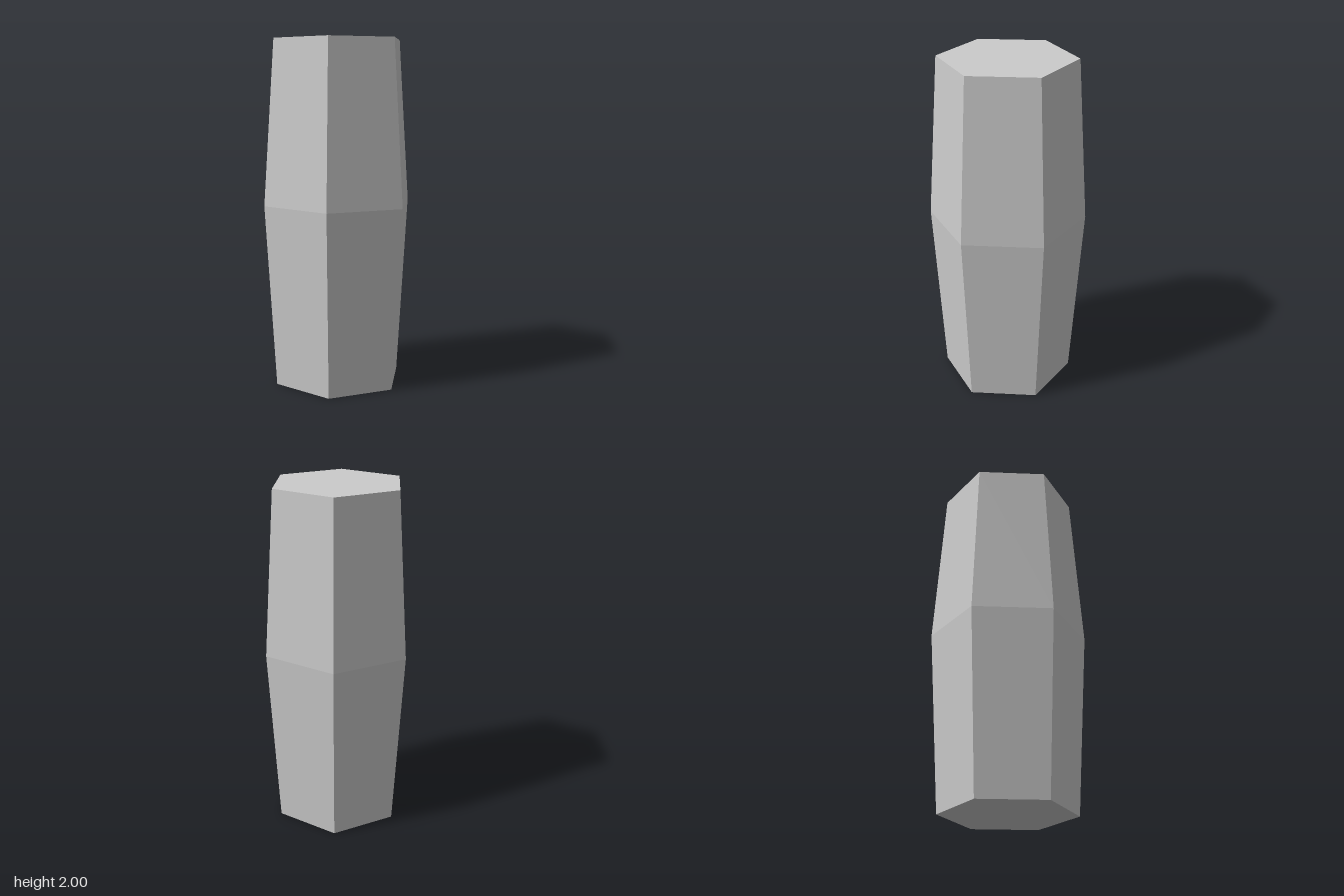
import * as THREE from 'three';

export function createModel() {
  const group = new THREE.Group();
  group.name = 'hexagonalBarrel';

  // Profile from bottom centre to top centre: widest just above the middle
  const profile = [
    [0, 0],
    [0.388, 0],
    [0.453, 1.06],
    [0.388, 2],
    [0, 2],
  ].map(([r, y]) => new THREE.Vector2(r, y));

  // Six-sided body with corners facing front and back, closed at both ends
  const body = new THREE.Mesh(
    new THREE.LatheGeometry(profile, 6),
    new THREE.MeshStandardMaterial({ color: 0xcccccc, flatShading: true })
  );
  body.name = 'body';
  group.add(body);

  return group;
}
